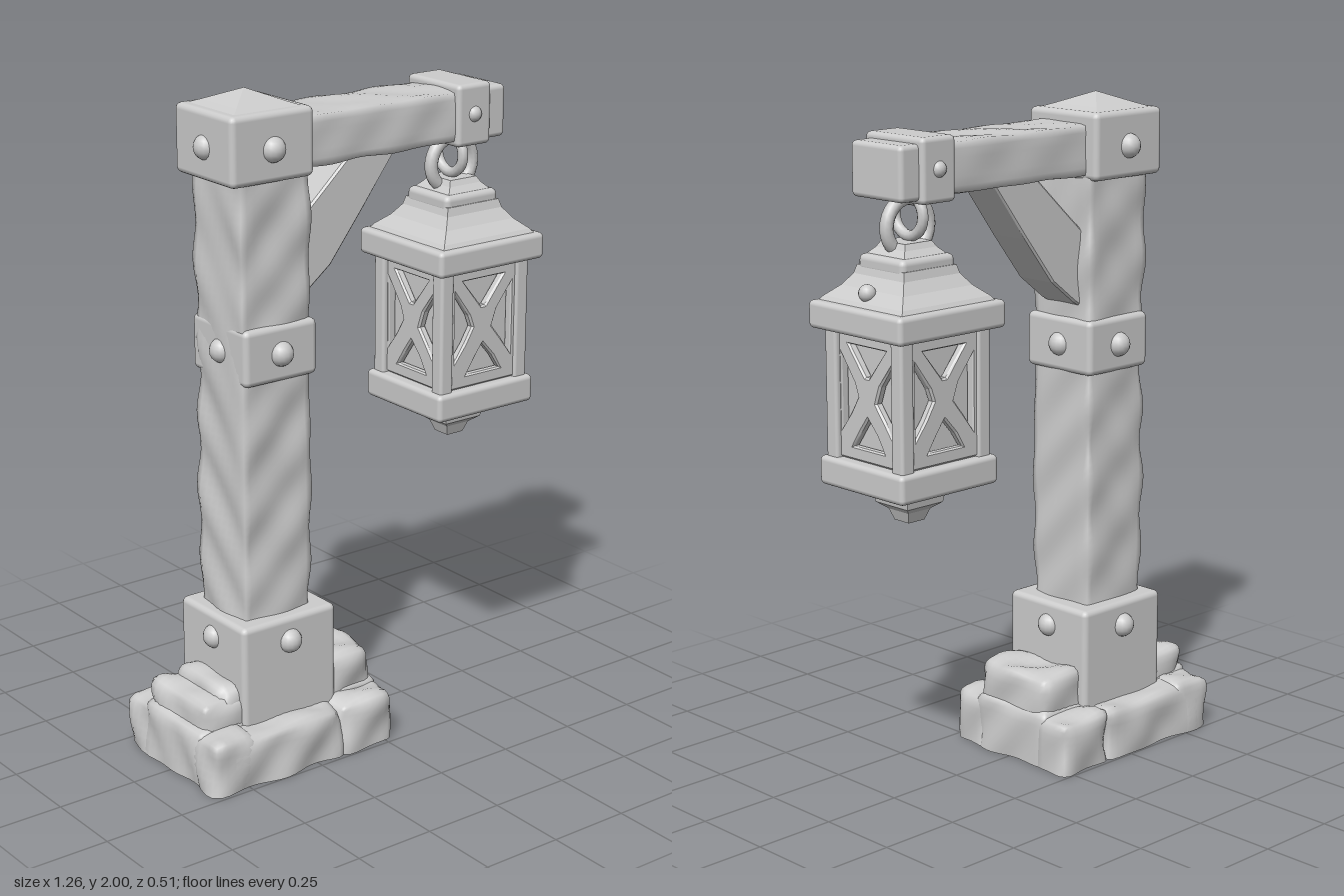
import * as THREE from 'three';
import { mergeVertices } from 'three/addons/utils/BufferGeometryUtils.js';
import { RoundedBoxGeometry } from 'three/addons/geometries/RoundedBoxGeometry.js';

const clay = new THREE.MeshStandardMaterial({ color: 0xcccccc, side: THREE.DoubleSide });
clay.name = 'light grey';

function add(parent, name, geometry, x = 0, y = 0, z = 0) {
  const mesh = new THREE.Mesh(geometry, clay);
  mesh.name = name;
  mesh.position.set(x, y, z);
  parent.add(mesh);
  return mesh;
}

// Softly bevelled block given by its extents
function block(parent, name, [x0, x1], [y0, y1], [z0, z1], r = 0.015) {
  const g = new RoundedBoxGeometry(x1 - x0, y1 - y0, z1 - z0, 2, r);
  return add(parent, name, g, (x0 + x1) / 2, (y0 + y1) / 2, (z0 + z1) / 2);
}

// Rounded block with an uneven, hand-hewn surface; openBottom leaves out the underside
function hewn(parent, name, [x0, x1], [y0, y1], [z0, z1], r, rough, openBottom = false) {
  const size = new THREE.Vector3(x1 - x0, y1 - y0, z1 - z0);
  const mid = new THREE.Vector3(x0 + x1, y0 + y1, z0 + z1).multiplyScalar(0.5);
  const n = (s) => Math.max(6, Math.round(s / 0.025));
  let g = new THREE.BoxGeometry(size.x, size.y, size.z, n(size.x), n(size.y), n(size.z));
  if (openBottom) {
    const b = g.groups[3];
    const idx = Array.from(g.index.array);
    idx.splice(b.start, b.count);
    g.setIndex(idx);
    g.clearGroups();
  }
  g.deleteAttribute('normal');
  g.deleteAttribute('uv');
  g = mergeVertices(g, 1e-4);
  const p = g.attributes.position;
  const inner = size.clone().multiplyScalar(0.5).subScalar(r);
  const v = new THREE.Vector3();
  const c = new THREE.Vector3();
  for (let i = 0; i < p.count; i++) {
    v.fromBufferAttribute(p, i);
    c.copy(v).clamp(inner.clone().negate(), inner);
    if (openBottom && v.y < 0) c.y = v.y;
    const d = v.clone().sub(c).normalize();
    const a = v.clone().add(mid);
    const bump = Math.sin(a.x * 23 + a.y * 9 + 1) * Math.sin(a.y * 17 + a.z * 21) +
      0.6 * Math.sin(a.z * 37 - a.x * 31 + a.y * 29);
    v.copy(c).addScaledVector(d, r + rough * (bump - 0.6));
    p.setXYZ(i, v.x, v.y, v.z);
  }
  g.computeVertexNormals();
  return add(parent, name, g, mid.x, mid.y, mid.z);
}

function rivet(parent, x, y, z, r = 0.037) {
  add(parent, 'rivet', new THREE.SphereGeometry(r, 16, 10), x, y, z);
}

// Rivets on the four sides of a band
function rivetBand(parent, xs, y, zs, sides) {
  const x = (xs[0] + xs[1]) / 2;
  const z = (zs[0] + zs[1]) / 2;
  if (sides.includes('f')) rivet(parent, x, y, zs[1] - 0.005);
  if (sides.includes('b')) rivet(parent, x, y, zs[0] + 0.005);
  if (sides.includes('l')) rivet(parent, xs[1] - 0.012, y, z);
  if (sides.includes('r')) rivet(parent, xs[0] + 0.012, y, z);
}

// Stack of square cross-sections [half width, y], faceted on four sides
function squareStack(parent, name, profile, x, z) {
  const pts = profile.map(([h, y]) => new THREE.Vector2(h * Math.SQRT2, y));
  const g = new THREE.LatheGeometry(pts, 4, Math.PI / 4).toNonIndexed();
  g.computeVertexNormals();
  return add(parent, name, g, x, 0, z);
}

function makeBase() {
  const base = new THREE.Group();
  base.name = 'stoneBase';
  const stone = (x, y, z) => hewn(base, 'baseStone', x, y, z, 0.04, 0.008, true);
  for (const z of [[0.1, 0.243], [-0.247, -0.1]]) {
    stone([-0.6, -0.15], [0, 0.16], z);
    stone([-0.17, 0.04], [0, 0.165], z);
    stone([-0.625, -0.46], [0, 0.17], z);
  }
  for (const x of [[-0.625, -0.43], [-0.16, 0.038]]) stone(x, [0, 0.18], [-0.16, 0.16]);
  // Taller stones leaning against the post
  stone([-0.6, -0.42], [0.1, 0.25], [-0.15, 0.15]);
  stone([-0.53, -0.42], [0.12, 0.28], [-0.13, 0.14]);
  stone([-0.17, 0.025], [0.1, 0.28], [-0.145, 0.15]);
  return base;
}

function makePost() {
  const post = new THREE.Group();
  post.name = 'post';
  hewn(post, 'postTimber', [-0.428, -0.182], [0.3, 1.85], [-0.122, 0.118], 0.014, 0.006);
  const bands = [
    ['footBand', [-0.465, -0.13], [0.12, 0.46], [-0.165, 0.16], 0.385, 'fblr'],
    ['middleBand', [-0.425, -0.172], [1.175, 1.342], [-0.135, 0.13], 1.258, 'fblr'],
    ['topBand', [-0.465, -0.183], [1.755, 1.955], [-0.145, 0.135], 1.85, 'fbr'],
  ];
  for (const [name, x, y, z, ry, sides] of bands) {
    block(post, name, x, y, z, 0.018);
    rivetBand(post, x, ry, z, sides);
  }
  squareStack(post, 'pointedCap', [[0.125, 1.95], [0.085, 1.965], [0, 2]], -0.324, -0.005);
  return post;
}

function makeArm() {
  const arm = new THREE.Group();
  arm.name = 'arm';
  hewn(arm, 'beam', [-0.25, 0.45], [1.768, 1.922], [-0.106, 0.104], 0.012, 0.003);
  block(arm, 'beamEnd', [0.4, 0.54], [1.765, 1.922], [-0.106, 0.104]);
  block(arm, 'beamBand', [0.348, 0.474], [1.755, 1.94], [-0.122, 0.118]);
  for (const z of [-0.113, 0.109]) rivet(arm, 0.411, 1.85, z, 0.025);
  // Diagonal brace
  const s = new THREE.Shape([[-0.22, 1.37], [-0.17, 1.4], [-0.08, 1.47], [0.03, 1.61],
    [0.16, 1.78], [0.0, 1.78], [-0.12, 1.67], [-0.22, 1.58]].map((q) => new THREE.Vector2(...q)));
  const g = new THREE.ExtrudeGeometry(s, { depth: 0.13, bevelSize: 0.006, bevelThickness: 0.006, bevelSegments: 1 });
  add(arm, 'brace', g, 0, 0, -0.07);
  return arm;
}

// Lantern window: plate pierced by four triangles that leave crossed bars
function windowGeometry() {
  const V = (a) => a.map(([x, y]) => new THREE.Vector2(x, y));
  const s = new THREE.Shape(V([[-0.15, -0.18], [0.15, -0.18], [0.15, 0.18], [-0.15, 0.18]]));
  const holes = [
    [[-0.085, 0.15], [0.085, 0.15], [0.01, 0.055], [-0.01, 0.055]],
    [[-0.07, -0.15], [0.075, -0.15], [0.045, -0.1], [0, -0.05], [-0.03, -0.09]],
    [[-0.112, 0.125], [-0.05, 0.04], [-0.035, 0], [-0.065, -0.05], [-0.112, -0.11]],
    [[0.112, 0.125], [0.112, -0.115], [0.07, -0.06], [0.03, -0.01], [0.05, 0.045]],
  ];
  for (const h of holes) s.holes.push(new THREE.Path(V(h)));
  return new THREE.ExtrudeGeometry(s, {
    depth: 0.016, bevelSize: 0.006, bevelThickness: 0.006, bevelSegments: 1,
  });
}

function makeLantern() {
  const lantern = new THREE.Group();
  lantern.name = 'lantern';
  lantern.position.set(0.43, 0, -0.003);
  const sq = (h) => [-h, h];
  block(lantern, 'eaves', [-0.201, 0.201], [1.395, 1.475], sq(0.195), 0.015);
  squareStack(lantern, 'roof', [[0.178, 1.47], [0.165, 1.487], [0.13, 1.517], [0.105, 1.55], [0.098, 1.575], [0, 1.575]], 0, 0);
  block(lantern, 'roofNeck', sq(0.1), [1.555, 1.607], sq(0.095), 0.018);
  squareStack(lantern, 'roofTop', [[0.085, 1.6], [0.06, 1.625], [0.05, 1.642], [0, 1.642]], 0, 0);
  rivet(lantern, 0.147, 1.512, 0, 0.025);
  block(lantern, 'glass', sq(0.125), [1.02, 1.4], sq(0.12), 0.005);
  const win = windowGeometry();
  for (let i = 0; i < 4; i++) {
    const side = new THREE.Group();
    side.name = 'lanternSide';
    side.rotation.y = (i * Math.PI) / 2;
    add(side, 'window', win, 0, 1.213, 0.131);
    lantern.add(side);
  }
  for (const x of [-1, 1]) for (const z of [-1, 1]) {
    block(lantern, 'cornerPost', [x * 0.145 - 0.024, x * 0.145 + 0.024], [1.01, 1.41],
      [z * 0.138 - 0.024, z * 0.138 + 0.024], 0.01);
  }
  block(lantern, 'tray', [-0.185, 0.185], [0.942, 1.027], sq(0.177), 0.015);
  squareStack(lantern, 'finial', [[0, 0.83], [0.03, 0.835], [0.042, 0.868], [0.068, 0.888], [0.078, 0.95]], 0, 0);
  // Hanging rings
  add(lantern, 'lowerRing', new THREE.TorusGeometry(0.078, 0.02, 10, 28), -0.005, 1.682, 0);
  const link = add(lantern, 'upperRing', new THREE.TorusGeometry(0.058, 0.016, 10, 24), -0.01, 1.712, 0);
  link.rotation.y = Math.PI / 2;
  return lantern;
}

export function createModel() {
  const model = new THREE.Group();
  model.name = 'lanternPost';
  model.add(makeBase(), makePost(), makeArm(), makeLantern());
  return model;
}
